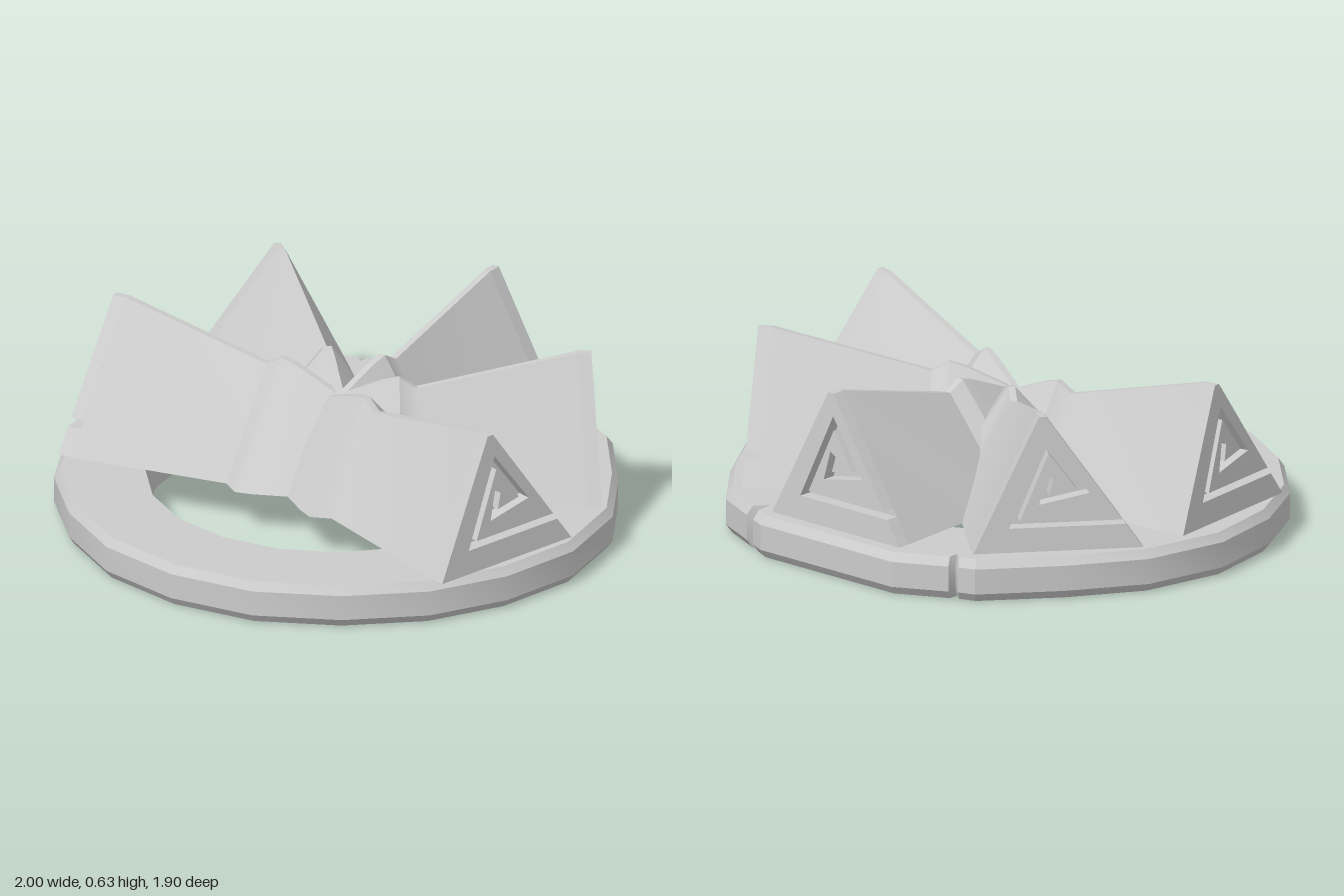
import * as THREE from 'three';
import { toCreasedNormals } from 'three/addons/utils/BufferGeometryUtils.js';

const material = new THREE.MeshStandardMaterial({ color: 0xcccccc });
const BASE = 0.155, RISE = 0.475, LEAN = 0.03, PLATE = 0.05;

// Skin rows of closed cross-sections; rows either join in a loop or get end caps.
function loft(rows, loop) {
  const pos = [], n = rows[0].length, m = rows.length;
  const tri = (a, b, c) => pos.push(...a, ...b, ...c);
  for (let i = 0; i < (loop ? m : m - 1); i++) {
    const r = rows[i], s = rows[(i + 1) % m];
    for (let j = 0; j < n; j++) {
      const k = (j + 1) % n;
      tri(r[j], r[k], s[k]);
      tri(r[j], s[k], s[j]);
    }
  }
  if (!loop) {
    for (let j = 1; j < n - 1; j++) {
      tri(rows[0][0], rows[0][j + 1], rows[0][j]);
      tri(rows[m - 1][0], rows[m - 1][j], rows[m - 1][j + 1]);
    }
  }
  const g = new THREE.BufferGeometry();
  g.setAttribute('position', new THREE.Float32BufferAttribute(pos, 3));
  return toCreasedNormals(g, 0.4);
}

function addMesh(parent, geometry, name) {
  const mesh = new THREE.Mesh(geometry, material);
  mesh.name = name;
  parent.add(mesh);
}

// Chamfered ring with a flat back and two small notches
function ringGeometry() {
  const side = [[0.58, -0.82], [0.78, -0.58], [0.94, -0.33], [1, -0.02],
    [0.94, 0.28], [0.8, 0.54], [0.58, 0.75], [0.31, 0.9]];
  const mirrored = side.map(([x, z]) => [-x, z]).reverse();
  const outline = [[0.3, -0.95], [0.36, -0.922], [0.37, -0.85], [0.41, -0.899], ...side,
    [0, 0.95], ...mirrored, [-0.52, -0.841], [-0.49, -0.82], [-0.49, -0.857], [-0.31, -0.95]];
  return loft(outline.map(([x, z]) => {
    const k = 0.65 / Math.hypot(x, z), c = 0.978;
    return [[x * k, 0, z * k], [x * c, 0, z * c], [x, 0.03, z],
      [x, 0.12, z], [x * c, 0.15, z * c], [x * k, 0.15, z * k]];
  }), true);
}

// End plate outline: a triangle with a spiral slot entering from its right edge
function spiralPlate() {
  const shape = new THREE.Shape([
    [-0.295, 0], [0.295, 0],
    [0.235, 0.085], [-0.17, 0.085], [-0.035, 0.395], [0.11, 0.2], [-0.065, 0.165], [-0.04, 0.27],
    [-0.015, 0.255], [-0.03, 0.198], [0.066, 0.217], [-0.03, 0.345], [-0.132, 0.11], [0.218, 0.11],
    [-0.038, RISE], [-0.062, RISE],
  ].map(([u, v]) => new THREE.Vector2(u, v)));
  return new THREE.ExtrudeGeometry(shape, { depth: PLATE, bevelEnabled: false });
}

// Triangular arm: nx, nz is its outward direction, shift its sideways drift at the end
function arm(name, nx, nz, reach, shift) {
  const group = new THREE.Group();
  group.name = name;
  const place = (u, y, r) => {
    const s = u + shift * r / reach;
    return [nx * r + nz * s, y, nz * r - nx * s];
  };

  // Body: distance, half width, ridge height, ridge offset, end lean
  const sections = [
    [0, 0.24, 0.45, -0.02, 0],
    [0.16, 0.29, 0.515, -0.035, 0],
    [0.22, 0.3, 0.53, -0.04, 0],
    [0.28, 0.25, 0.495, -0.043, 0],
    [reach - PLATE, 0.295, BASE + RISE, -0.05, LEAN],
  ];
  addMesh(group, loft(sections.map(([r, w, y, o, lean]) => [
    place(-w, BASE, r), place(w, BASE, r),
    place(o + 0.012, y, r - lean), place(o - 0.012, y, r - lean),
  ]), false), name + 'Body');

  // Slotted plate, leaning slightly inward towards the ridge
  const plate = spiralPlate(), p = plate.attributes.position;
  for (let i = 0; i < p.count; i++) {
    const v = p.getY(i);
    const r = reach - PLATE + p.getZ(i) - LEAN * v / RISE;
    p.setXYZ(i, ...place(p.getX(i), BASE + v, r));
  }
  addMesh(group, toCreasedNormals(plate, 0.3), name + 'SpiralPlate');
  return group;
}

export function createModel() {
  const model = new THREE.Group();
  model.name = 'ringWithArms';
  addMesh(model, ringGeometry(), 'baseRing');
  model.add(
    arm('leftArm', 0.977, 0.212, 0.937, -0.04),
    arm('backLeftArm', 0.788, -0.616, 0.908, -0.024),
    arm('backArm', 0, -1, 0.895, 0),
    arm('backRightArm', -0.771, -0.636, 0.908, 0.034),
    arm('rightArm', -0.992, 0.127, 0.9, 0.038),
  );
  return model;
}
